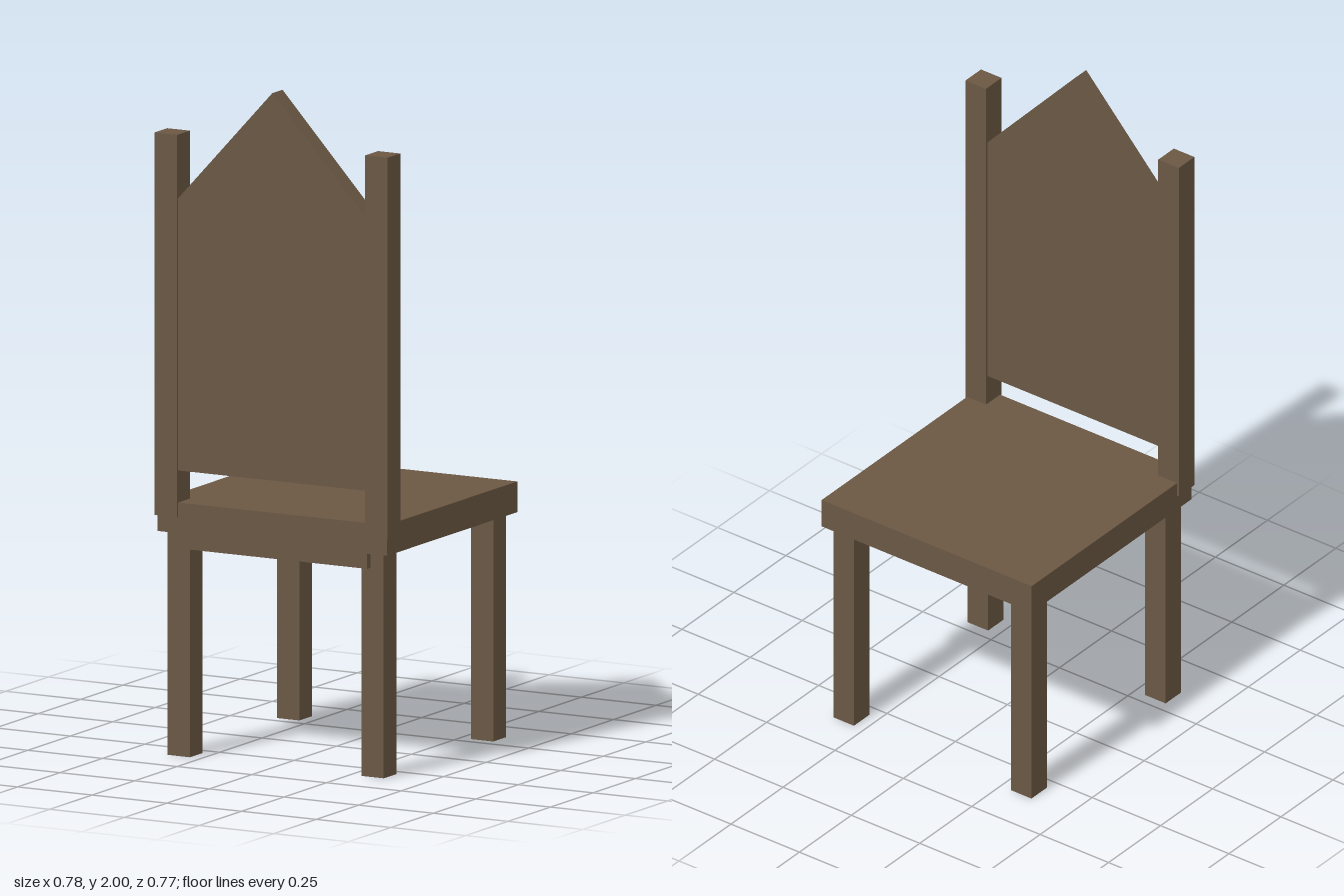
import * as THREE from 'three';

export function createModel() {
  const chair = new THREE.Group();
  chair.name = 'chair';
  const wood = new THREE.MeshStandardMaterial({ color: 0x6b5844 });

  // Box given by its minimum and maximum corners
  function box(name, [x0, y0, z0], [x1, y1, z1]) {
    const mesh = new THREE.Mesh(new THREE.BoxGeometry(x1 - x0, y1 - y0, z1 - z0), wood);
    mesh.position.set((x0 + x1) / 2, (y0 + y1) / 2, (z0 + z1) / 2);
    mesh.name = name;
    chair.add(mesh);
  }

  // Seat slab and the rail under its rear edge
  box('seat', [-0.384, 0.665, -0.388], [0.384, 0.756, 0.379]);
  box('rearRail', [-0.317, 0.62, 0.319], [0.317, 0.71, 0.379]);

  // Legs and backrest posts, mirrored left and right
  for (const [side, x] of [['left', 0.324], ['right', -0.325]]) {
    box(side + 'RearLeg', [x - 0.0375, 0, 0.284], [x + 0.0375, 0.67, 0.359]);
    box(side + 'FrontLeg', [x - 0.0375, 0, -0.361], [x + 0.0375, 0.67, -0.286]);
    const p = Math.sign(x) * 0.3525;
    box(side + 'BackPost', [p - 0.0375, 0.713, 0.311], [p + 0.0375, 1.847, 0.386]);
  }

  // Back panel with a gabled top
  const outline = new THREE.Shape([
    [-0.317, 0.851], [0.317, 0.851], [0.317, 1.656], [0, 2], [-0.317, 1.656],
  ].map(([x, y]) => new THREE.Vector2(x, y)));
  const panel = new THREE.Mesh(
    new THREE.ExtrudeGeometry(outline, { depth: 0.06, bevelEnabled: false }), wood);
  panel.position.z = 0.319;
  panel.name = 'backPanel';
  chair.add(panel);

  return chair;
}
